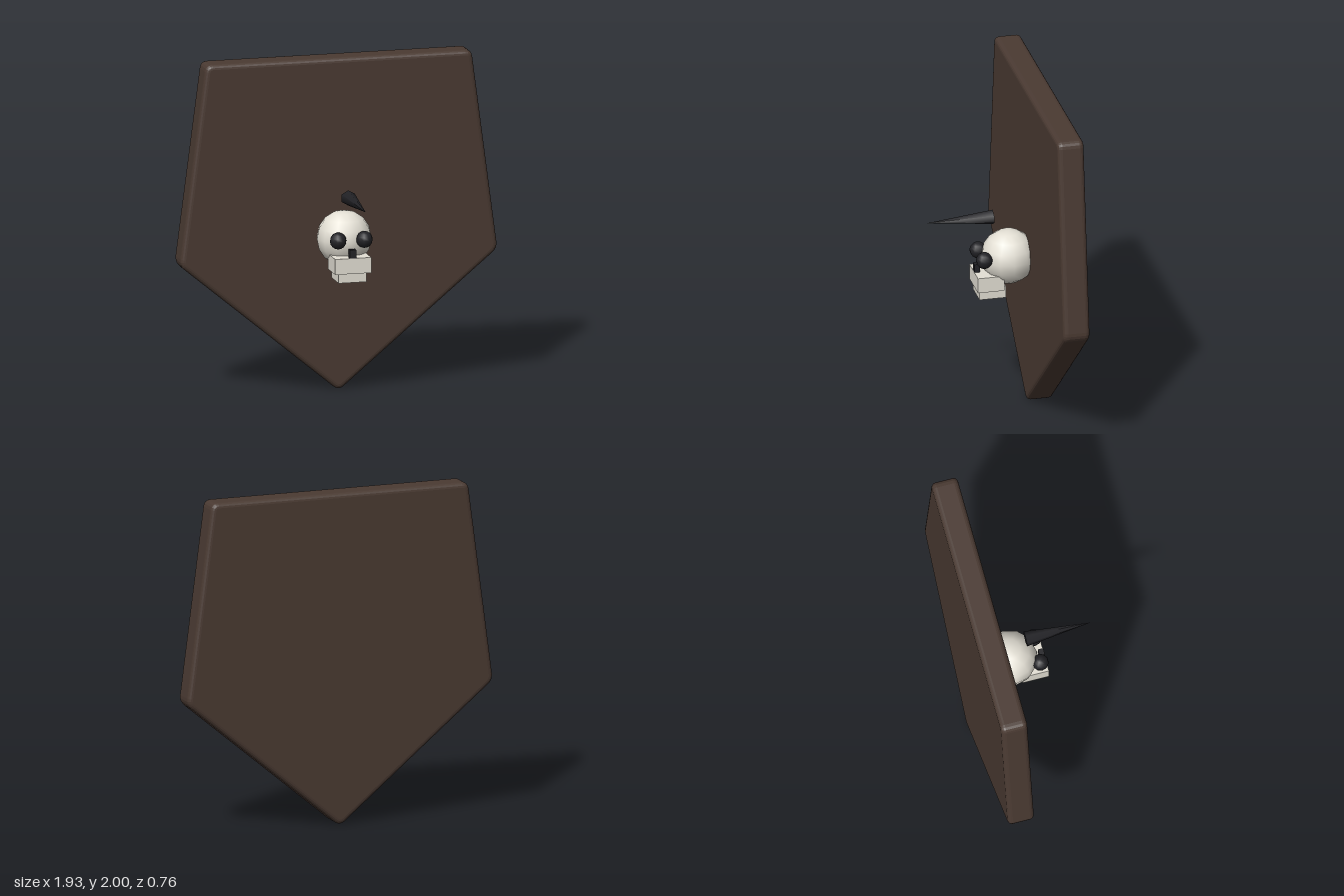
import * as THREE from 'three';

const material = (color) => new THREE.MeshStandardMaterial({ color });

// Closed outline through the corners, each rounded by a short curve.
function roundedOutline(corners, cut) {
  const pts = corners.map(([x, y]) => new THREE.Vector2(x, y));
  const shape = new THREE.Shape();
  pts.forEach((p, i) => {
    const prev = pts[(i + pts.length - 1) % pts.length];
    const next = pts[(i + 1) % pts.length];
    const a = p.clone().add(prev.clone().sub(p).setLength(cut));
    const b = p.clone().add(next.clone().sub(p).setLength(cut));
    if (i === 0) shape.moveTo(a.x, a.y);
    else shape.lineTo(a.x, a.y);
    shape.quadraticCurveTo(p.x, p.y, b.x, b.y);
  });
  shape.closePath();
  return shape;
}

export function createModel() {
  const model = new THREE.Group();
  model.name = 'skullPlaque';
  const wood = material(0x4a3a32);
  const bone = material(0xe4e0d5);
  const dark = material(0x222226);

  const add = (name, geometry, mat, x, y, z) => {
    const mesh = new THREE.Mesh(geometry, mat);
    mesh.name = name;
    mesh.position.set(x, y, z);
    model.add(mesh);
    return mesh;
  };

  // Five-sided wooden shield with rounded edges
  const bevel = 0.028;
  const outline = roundedOutline(
    [[0, -0.01], [0.968, 0.795], [0.81, 2], [-0.81, 2], [-0.968, 0.795]], 0.04);
  const board = new THREE.ExtrudeGeometry(outline, {
    depth: 0.16 - 2 * bevel, curveSegments: 4,
    bevelEnabled: true, bevelSize: bevel, bevelThickness: bevel,
    bevelOffset: -bevel, bevelSegments: 4,
  });
  add('backboard', board, wood, 0, 0, -0.38 + bevel);

  // Skull: cranium, two-part jaw, nose and eye sockets
  add('cranium', new THREE.SphereGeometry(0.165, 12, 8), bone, 0, 0.94, -0.115);
  add('upperJaw', new THREE.BoxGeometry(0.22, 0.093, 0.16), bone, 0, 0.813, 0.015);
  add('lowerJaw', new THREE.BoxGeometry(0.17, 0.075, 0.16), bone, 0, 0.748, 0);
  add('nose', new THREE.BoxGeometry(0.038, 0.06, 0.032), dark, 0, 0.88, 0.078);
  for (const [side, name] of [[1, 'leftEye'], [-1, 'rightEye']]) {
    add(name, new THREE.SphereGeometry(0.05, 10, 8), dark, side * 0.08, 0.96, 0.05);
  }

  // Six-sided spike pointing forward above the skull
  const spike = new THREE.ConeGeometry(0.046, 0.4, 6).rotateX(Math.PI / 2);
  add('spike', spike, dark, 0, 1.2, 0.18);

  return model;
}
